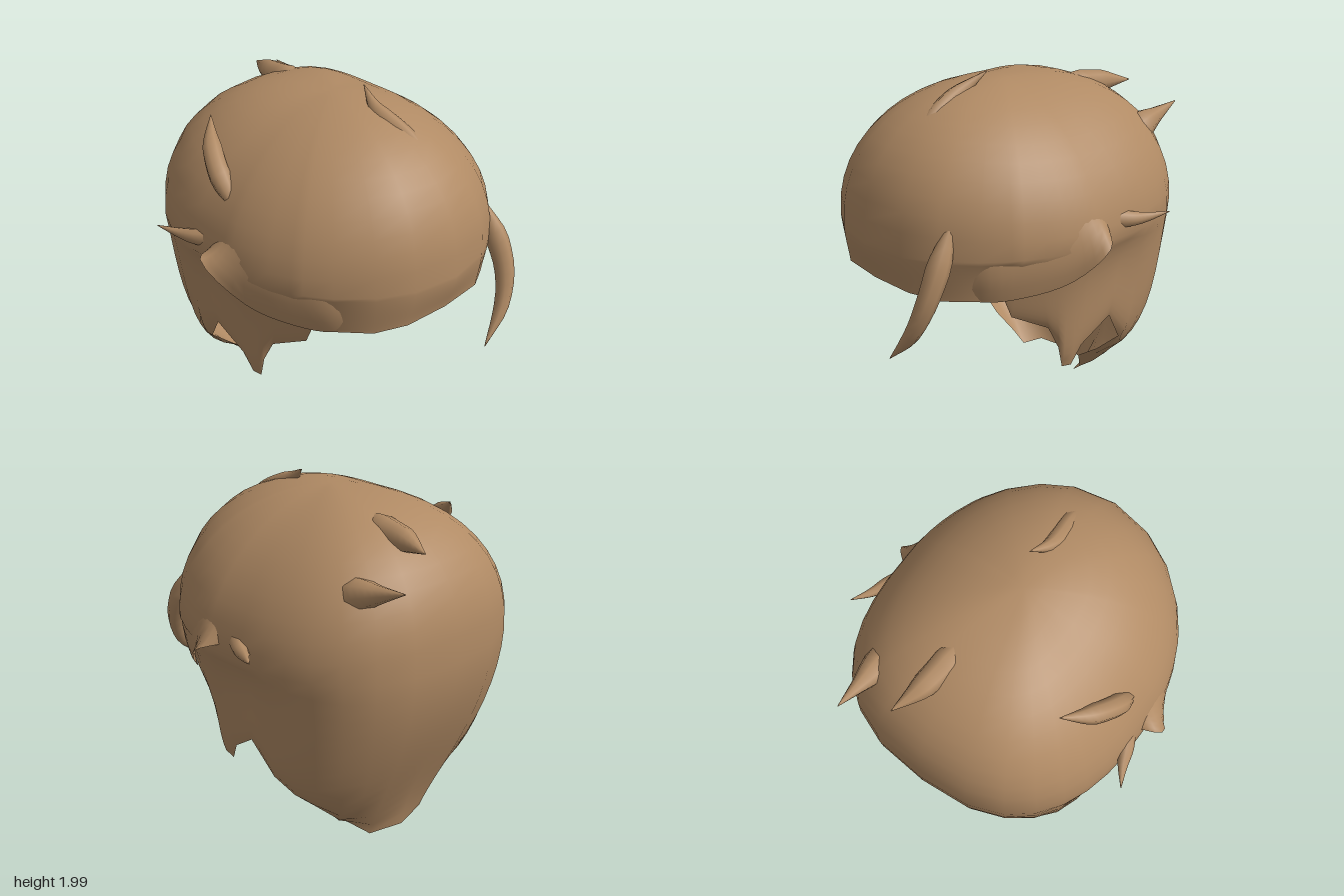
import * as THREE from 'three';
import { mergeVertices } from 'three/addons/utils/BufferGeometryUtils.js';

const V = (x, y, z) => new THREE.Vector3(x, y, z);
const hair = new THREE.MeshStandardMaterial({ color: 0xb08a64, side: THREE.DoubleSide });
hair.name = 'brown hair';

// Smooth surface through a list of columns, each a list of points
function skin(columns) {
  const rows = columns[0].length, pos = [], index = [];
  columns.forEach((c) => c.forEach((p) => pos.push(p.x, p.y, p.z)));
  for (let i = 0; i < columns.length - 1; i++) {
    for (let j = 0; j < rows - 1; j++) {
      const a = i * rows + j, b = a + rows;
      index.push(a, a + 1, b, b, a + 1, b + 1);
    }
  }
  let g = new THREE.BufferGeometry();
  g.setAttribute('position', new THREE.Float32BufferAttribute(pos, 3));
  g.setIndex(index);
  g = mergeVertices(g, 1e-4);
  g.computeVertexNormals();
  return g;
}

// Lower edge of the cap, front to back: angle from the front, x, y, z, fullness above the edge
const EDGE = [
  [0, 0, 0.98, 0.88, 0.2], [18, 0.27, 0.98, 0.86, 0.2], [32, 0.43, 0.96, 0.77, 0.2],
  [46, 0.57, 0.96, 0.62, 0.2], [56, 0.6, 0.96, 0.5, 0.2], [60, 0.62, 0.84, 0.46, 0.3],
  [68, 0.67, 0.72, 0.24, 0.4], [74, 0.68, 0.58, 0.17, 0.4], [79, 0.69, 0.46, 0.15, 0.4],
  [83, 0.69, 0.445, 0.08, 0.4], [87, 0.71, 0.56, 0.02, 0.4], [98, 0.74, 0.69, -0.16, 0.3],
  [106, 0.69, 0.49, -0.3, 0.75], [115, 0.53, 0.34, -0.3, 0.95], [125, 0.38, 0.23, -0.3, 0.95],
  [137, 0.31, 0.09, -0.39, 0.7], [150, 0.23, 0.02, -0.41, 0.5], [165, 0.21, 0.015, -0.55, 0.25],
  [180, 0, 0.01, -0.6, 0.12],
];

// One strand of the cap: rounded dome above the widest ring, then a curve to the edge
function capColumn([deg, px, py, pz, full], side) {
  const t = THREE.MathUtils.degToRad(deg), s = Math.abs(Math.sin(t)), c = Math.cos(t);
  const power = c > 0 ? 1 : 0.77;
  const ex = 0.84 * Math.pow(s, power);
  const ez = (c > 0 ? 0.94 : 0.96) * Math.sign(c) * Math.pow(Math.abs(c), power);
  const ey = 1.2;
  const n = 1.82 + (c > 0 ? 0.43 : 0.68) * c * c;
  const points = [];
  for (let i = 0; i < 12; i++) {
    const a = (i / 12) * Math.PI / 2;
    const r = Math.pow(Math.sin(a), 2 / n), h = Math.pow(Math.cos(a), 2 / n);
    points.push(V(side * ex * r, ey + 0.75 * h, ez * r));
  }
  const drop = ey - py;
  const curve = new THREE.CubicBezierCurve3(
    V(side * ex, ey, ez),
    V(side * (ex - 0.12 * Math.pow(s, 4)), ey - drop * 0.36, ez),
    V(side * (px + (ex - px) * full), py + drop * 0.33 * (1 - full), pz + (ez - pz) * full),
    V(side * px, py, pz));
  return points.concat(curve.getPoints(12));
}

function cap() {
  const left = EDGE.map((e) => capColumn(e, 1));
  const right = EDGE.slice(0, -1).reverse().map((e) => capColumn(e, -1));
  return skin([...left, ...right]);
}

// Fringe flap sweeping back over the side into a raised point, both ends sunk in the cap
function flap(side, tipY, tipZ) {
  const line = (list) => new THREE.CatmullRomCurve3(list.map(([x, y, z]) => V(side * x, y, z)));
  const root = line([[0.36, 1.4, 0.7], [0.54, 1.42, 0.58], [0.65, 1.43, 0.43],
    [0.74, 1.43, 0.22], [0.77, 1.4, 0.05], [0.76, 1.36, -0.08]]);
  const belly = line([[0.37, 1.18, 0.74], [0.62, 1.18, 0.69], [0.76, 1.2, 0.47],
    [0.86, 1.22, 0.22], [0.86, 1.28, 0.04], [0.77, 1.32, -0.08]]);
  const edge = line([[0.36, 0.99, 0.74], [0.57, 0.96, 0.62], [0.69, 0.97, 0.45],
    [0.81, 1.03, 0.2], [0.93, tipY, tipZ], [0.77, 1.26, -0.08]]);
  const columns = [];
  for (let i = 0; i <= 20; i++) {
    const u = i / 20;
    columns.push(new THREE.QuadraticBezierCurve3(
      root.getPoint(u), belly.getPoint(u), edge.getPoint(u)).getPoints(6));
  }
  return skin(columns);
}

// Pointed tuft: a tube whose rings follow a list of radii
function tuft(points, radii) {
  const curve = new THREE.CatmullRomCurve3(points.map((p) => V(...p)));
  const steps = 14;
  let g = new THREE.TubeGeometry(curve, steps, 1, 8);
  const pos = g.attributes.position, p = V(0, 0, 0);
  for (let i = 0; i < pos.count; i++) {
    const u = Math.floor(i / 9) / steps;
    const f = u * (radii.length - 1), k = Math.min(Math.floor(f), radii.length - 2);
    const r = THREE.MathUtils.lerp(radii[k], radii[k + 1], f - k);
    const centre = curve.getPointAt(u);
    p.fromBufferAttribute(pos, i).sub(centre).multiplyScalar(r).add(centre);
    pos.setXYZ(i, p.x, p.y, p.z);
  }
  g.deleteAttribute('normal');
  g.deleteAttribute('uv');
  g = mergeVertices(g, 1e-4);
  g.computeVertexNormals();
  return g;
}

export function createModel() {
  const model = new THREE.Group();
  model.name = 'hair';
  const add = (name, geometry) => {
    const mesh = new THREE.Mesh(geometry, hair);
    mesh.name = name;
    model.add(mesh);
  };

  add('hairCap', cap());
  add('leftFringeFlap', flap(1, 1.21, 0.06));
  add('rightFringeFlap', flap(-1, 1.27, -0.01));

  // Loose strand hanging over the forehead
  add('frontStrand', tuft(
    [[0.45, 1.38, 0.71], [0.48, 1.18, 0.82], [0.475, 1.0, 0.9], [0.41, 0.82, 0.95], [0.25, 0.63, 0.98]],
    [0.02, 0.065, 0.055, 0.04, 0.002]));

  // Tufts on the crown, rooted inside the cap
  add('topTuft', tuft(
    [[0.1, 1.68, 0.68], [0.06, 1.83, 0.47], [0.04, 1.91, 0.3], [0.08, 2.0, 0.16]],
    [0.02, 0.05, 0.05, 0.002]));
  add('crownTuft', tuft(
    [[0.1, 1.85, -0.3], [0.11, 1.83, -0.5], [0.13, 1.82, -0.68], [0.18, 1.81, -0.86]],
    [0.03, 0.08, 0.065, 0.002]));
  add('backTuft', tuft(
    [[0.42, 1.5, -0.52], [0.44, 1.61, -0.67], [0.44, 1.66, -0.82], [0.44, 1.71, -0.98]],
    [0.1, 0.1, 0.045, 0.002]));
  add('rightTuft', tuft(
    [[-0.69, 1.46, 0.03], [-0.68, 1.62, -0.13], [-0.61, 1.72, -0.28], [-0.51, 1.82, -0.41]],
    [0.02, 0.06, 0.055, 0.002]));

  // Small spikes behind the temples
  for (const side of [1, -1]) {
    add(side > 0 ? 'leftSpike' : 'rightSpike', tuft(
      [[side * 0.75, 1.29, -0.1], [side * 0.82, 1.28, -0.2], [side * 0.86, 1.28, -0.29], [side * 0.92, 1.3, -0.4]],
      [0.06, 0.045, 0.025, 0.002]));
  }
  return model;
}
